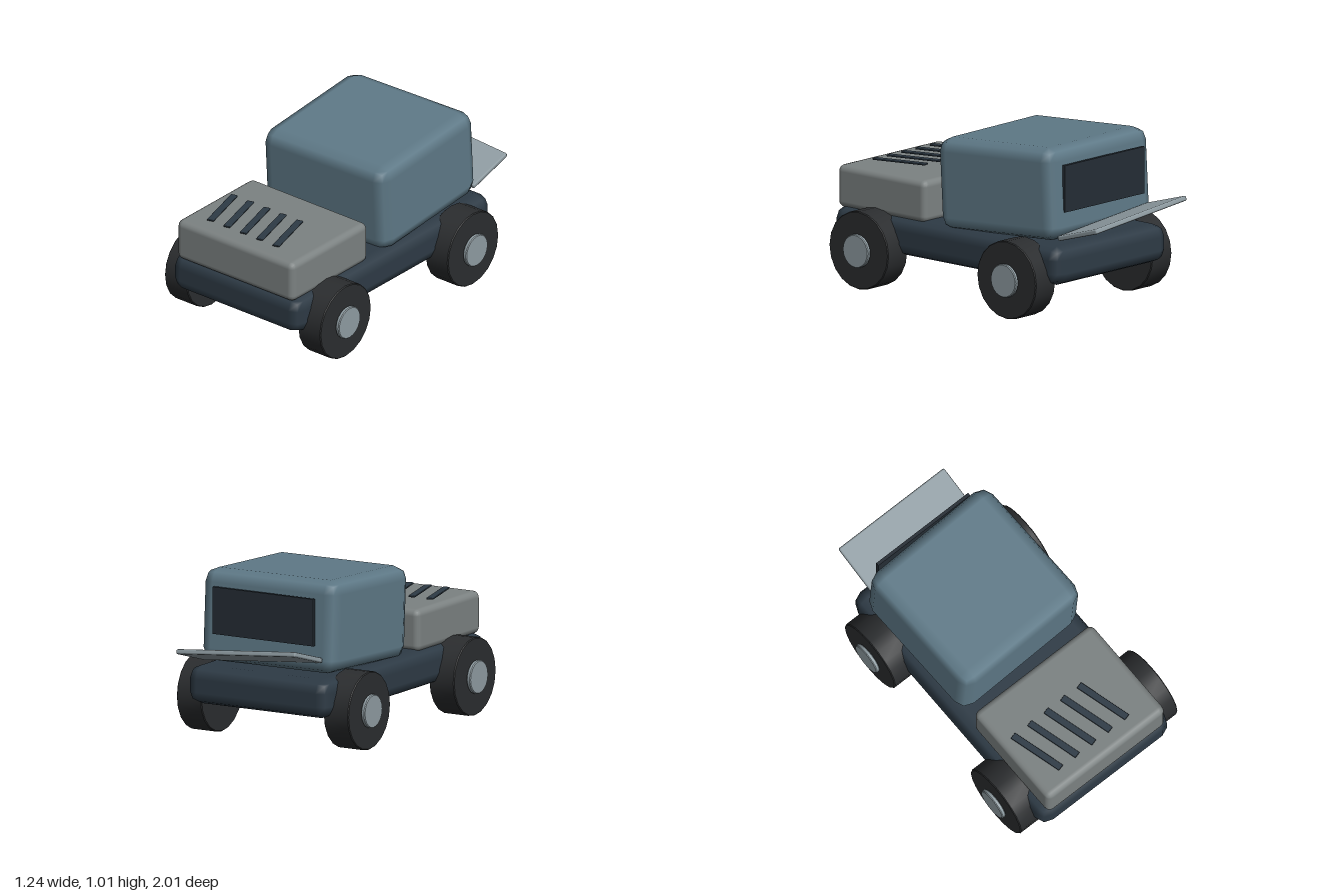
import * as THREE from 'three';
import { RoundedBoxGeometry } from 'three/addons/geometries/RoundedBoxGeometry.js';
import { toCreasedNormals } from 'three/addons/utils/BufferGeometryUtils.js';

const paint = (color) => new THREE.MeshStandardMaterial({ color });
const bodyPaint = paint(0x5f7a88);
const hoodPaint = paint(0x7c8282);
const chassisPaint = paint(0x2e3b46);
const glassPaint = paint(0x252d35);
const tyrePaint = paint(0x2b2d2f);
const trimPaint = paint(0x8f9ca2);

// Disc with its axis along x and a small bevel on both rims
function discGeometry(radius, width, bevel, sides) {
  const h = width / 2;
  const profile = [
    [0, -h], [radius - bevel, -h], [radius, bevel - h],
    [radius, h - bevel], [radius - bevel, h], [0, h],
  ].map(([r, y]) => new THREE.Vector2(r, y));
  const geometry = new THREE.LatheGeometry(profile, sides).rotateZ(-Math.PI / 2);
  return toCreasedNormals(geometry, Math.PI / 5);
}

export function createModel() {
  const model = new THREE.Group();

  function add(name, geometry, material, position, rotation = [0, 0, 0], parent = model) {
    const mesh = new THREE.Mesh(geometry, material);
    mesh.name = name;
    mesh.position.set(...position);
    mesh.rotation.set(...rotation);
    parent.add(mesh);
    return mesh;
  }

  // Body
  add('chassis', new RoundedBoxGeometry(0.97, 0.23, 1.78, 1, 0.075), chassisPaint, [0, 0.325, 0.11]);
  add('hood', new RoundedBoxGeometry(0.885, 0.255, 0.695, 2, 0.04), hoodPaint, [0, 0.55, 0.65]);
  add('cabin', new RoundedBoxGeometry(0.91, 0.55, 0.888, 1, 0.08), bodyPaint,
    [0, 0.711, -0.237], [0.057, 0.033, 0]);
  add('rearWindow', new THREE.BoxGeometry(0.69, 0.28, 0.02), glassPaint, [-0.005, 0.77, -0.697]);

  // Tailgate, slightly askew
  add('tailgate', new RoundedBoxGeometry(0.81, 0.03, 0.32, 1, 0.01), trimPaint,
    [0, 0.56, -0.848], [0.283, 0, -0.085]);

  // Slanted vents across the hood
  const vents = new THREE.Group();
  vents.name = 'hoodVents';
  model.add(vents);
  const ventGeometry = new RoundedBoxGeometry(0.043, 0.01, 0.345, 1, 0.004);
  for (let i = 0; i < 5; i++) {
    add('vent', ventGeometry, chassisPaint, [-0.312 + i * 0.124, 0.692, 0.73], [0, 0.27, 0], vents);
  }

  // Wheels with hub caps
  const tyreGeometry = discGeometry(0.2325, 0.17, 0.005, 20);
  const hubGeometry = discGeometry(0.1, 0.026, 0.005, 20);
  for (const [end, z] of [['front', 0.69], ['rear', -0.473]]) {
    for (const side of [1, -1]) {
      const wheel = new THREE.Group();
      wheel.name = end + (side > 0 ? 'Left' : 'Right') + 'Wheel';
      wheel.position.set(side * 0.505, 0.2325, z);
      add('tyre', tyreGeometry, tyrePaint, [0, 0, 0], [0, 0, 0], wheel);
      add('hubCap', hubGeometry, trimPaint, [side * 0.102, 0, 0], [0, 0, 0], wheel);
      model.add(wheel);
    }
  }

  return model;
}
